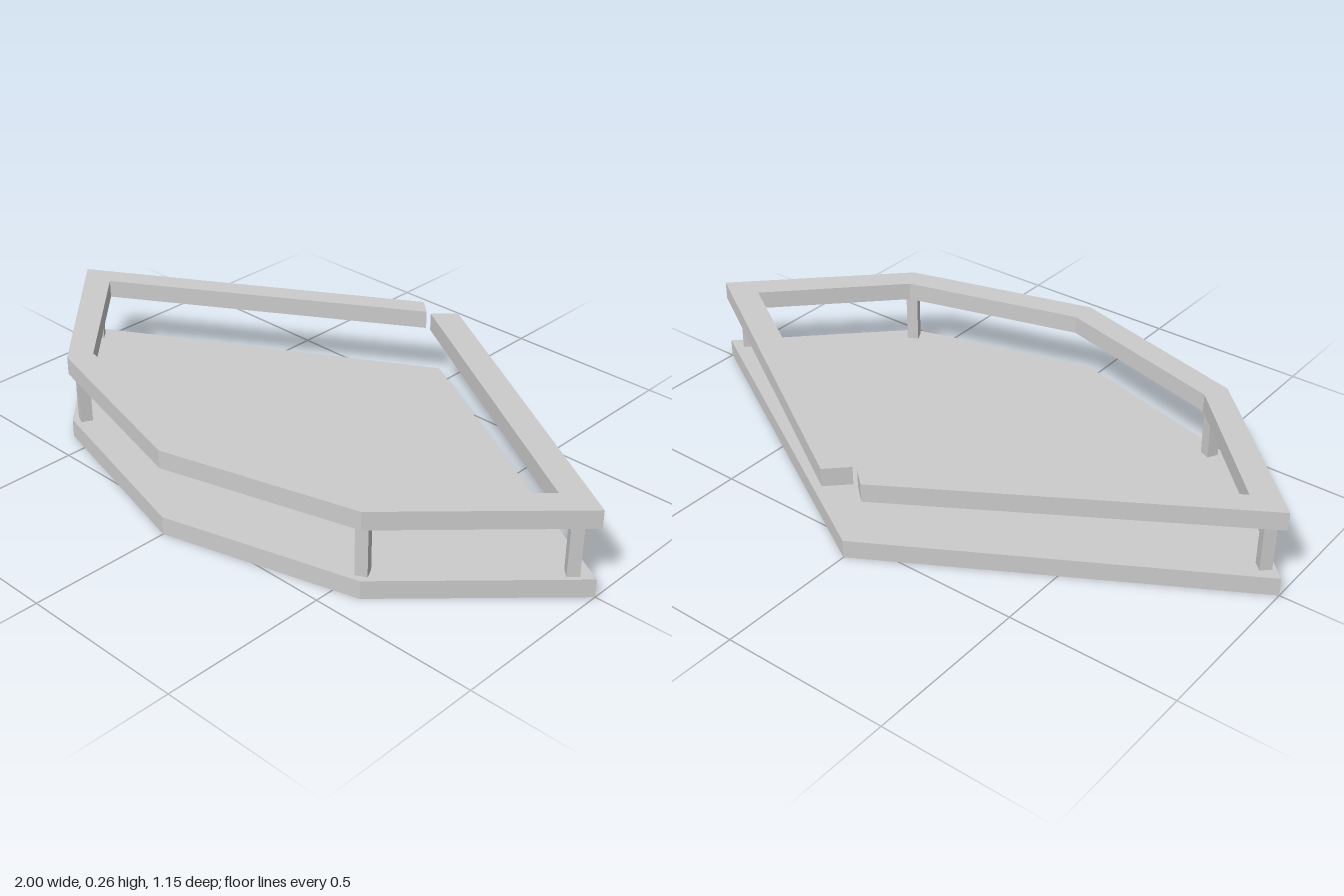
import * as THREE from 'three';

const material = new THREE.MeshStandardMaterial({ color: 0xcccccc, flatShading: true });
const THICKNESS = 0.055;
const BASE_TOP = THICKNESS;
const RAIL_TOP = 0.265;

// Horizontal slab from an [x, z] outline, its upper face at the given height
function slab(name, outline, top) {
  const shape = new THREE.Shape(outline.map(([x, z]) => new THREE.Vector2(x, z)));
  const geometry = new THREE.ExtrudeGeometry(shape, { depth: THICKNESS, bevelEnabled: false });
  geometry.rotateX(Math.PI / 2).translate(0, top, 0);
  const mesh = new THREE.Mesh(geometry, material);
  mesh.name = name;
  return mesh;
}

export function createModel() {
  const group = new THREE.Group();
  group.name = 'railedPlatform';

  // Solid six-sided floor
  const rim = [[-1, 0], [-0.575, 0.42], [0, 0.575], [0.575, 0.42], [1, 0]];
  group.add(slab('floor', [...rim, [0, -0.575]], BASE_TOP));

  // Mitred handrail, open at the back corner
  const inner = [[0, -0.522], [0.872, 0.015], [0.537, 0.352], [0, 0.497],
    [-0.54, 0.352], [-0.88, 0.007], [-0.017, -0.523]];
  group.add(slab('handrail', [[-0.068, -0.568], ...rim, [0.06, -0.58], ...inner], RAIL_TOP));

  // Square posts, turned to face their corners
  const height = RAIL_TOP - THICKNESS - BASE_TOP;
  const postGeometry = new THREE.BoxGeometry(0.035, height, 0.035);
  const posts = [['frontPost', 0.554, 0.387, 0.47], ['sidePost', 0.938, 0.02, Math.PI / 4]];
  for (const [name, x, z, turn] of posts) {
    for (const side of [-1, 1]) {
      const post = new THREE.Mesh(postGeometry, material);
      post.name = name + (side > 0 ? 'Left' : 'Right');
      post.position.set(side * x, BASE_TOP + height / 2, z);
      post.rotation.y = side * turn;
      group.add(post);
    }
  }
  return group;
}
